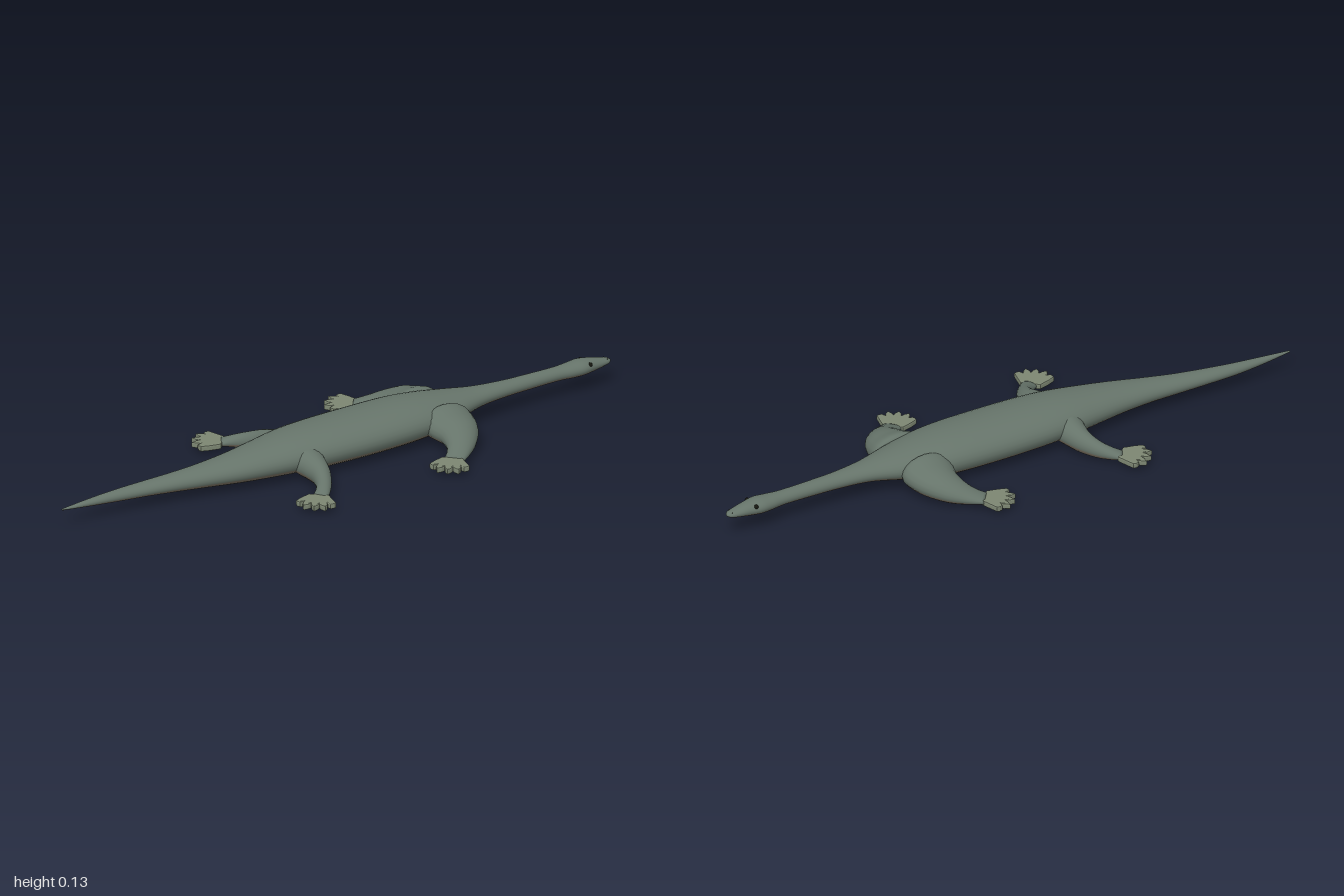
import * as THREE from 'three';

const paint = (color) => new THREE.MeshStandardMaterial({ color });
const hide = paint(0x66746a), belly = paint(0x756d5e), footSkin = paint(0x7c8672), dark = paint(0x15160f);
const V = (x, y, z) => new THREE.Vector3(x, y, z);

// Smooth closed skin through elliptic sections [centre, half width, half height];
// the underside of every ring gets the belly colour.
function loft(name, sections, steps, sides) {
  const [C, U, H] = [0, 1, 2].map((k) => new THREE.CatmullRomCurve3(sections.map((s) => s[k]), false, 'catmullrom', 0.5));
  const pos = [], top = [], under = [];
  for (let i = 0; i <= steps; i++) {
    const t = i / steps, c = C.getPoint(t), u = U.getPoint(t), h = H.getPoint(t);
    for (let j = 0; j < sides; j++) {
      const a = (j / sides) * Math.PI * 2;
      const p = c.clone().addScaledVector(u, Math.cos(a)).addScaledVector(h, Math.sin(a));
      pos.push(p.x, p.y, p.z);
    }
  }
  for (let i = 0; i < steps; i++) {
    for (let j = 0; j < sides; j++) {
      const k = (j + 1) % sides, a = i * sides + j, b = i * sides + k;
      const low = Math.sin(((j + 0.5) / sides) * Math.PI * 2) < -0.35;
      (low ? under : top).push(a, a + sides, b + sides, a, b + sides, b);
    }
  }
  // End caps
  const last = steps * sides;
  for (let j = 1; j < sides - 1; j++) top.push(0, j, j + 1, last, last + j + 1, last + j);
  const g = new THREE.BufferGeometry();
  g.setAttribute('position', new THREE.Float32BufferAttribute(pos, 3));
  g.setIndex([...top, ...under]);
  g.addGroup(0, top.length, 0);
  g.addGroup(top.length, under.length, 1);
  g.computeVertexNormals();
  const mesh = new THREE.Mesh(g, [hide, belly]);
  mesh.name = name;
  return mesh;
}

// Tail tip to snout: x, bottom, top, right edge z, left edge z
const BODY = [
  [-1, 0.058, 0.063, -0.049, -0.043], [-0.9, 0.048, 0.07, -0.06, -0.033], [-0.8, 0.04, 0.076, -0.066, -0.022],
  [-0.7, 0.036, 0.081, -0.067, -0.005], [-0.6, 0.031, 0.087, -0.065, 0.015], [-0.5, 0.026, 0.096, -0.065, 0.04],
  [-0.4, 0.02, 0.107, -0.073, 0.066], [-0.3, 0.014, 0.119, -0.089, 0.086], [-0.2, 0.009, 0.13, -0.107, 0.103],
  [-0.1, 0.005, 0.135, -0.117, 0.113], [0.05, 0.003, 0.137, -0.12, 0.117], [0.2, 0.005, 0.137, -0.117, 0.114],
  [0.3, 0.012, 0.131, -0.106, 0.103], [0.4, 0.03, 0.119, -0.08, 0.078], [0.5, 0.046, 0.107, -0.047, 0.047],
  [0.6, 0.051, 0.101, -0.032, 0.032], [0.7, 0.053, 0.099, -0.027, 0.027], [0.8, 0.054, 0.098, -0.026, 0.026],
  [0.85, 0.052, 0.1, -0.032, 0.032], [0.89, 0.052, 0.102, -0.036, 0.036], [0.93, 0.055, 0.097, -0.028, 0.028],
  [0.97, 0.061, 0.088, -0.021, 0.021], [0.99, 0.065, 0.083, -0.015, 0.015], [1, 0.071, 0.077, -0.005, 0.005],
];

// Shoulder to wrist: rear edge x, z, front edge x, z, bottom, top
const FRONT_LEG = [
  [0.29, 0.055, 0.37, 0.055, 0.045, 0.095], [0.25, 0.075, 0.416, 0.075, 0.018, 0.119],
  [0.254, 0.115, 0.412, 0.125, 0.013, 0.107], [0.264, 0.155, 0.39, 0.175, 0.011, 0.094],
  [0.257, 0.195, 0.35, 0.222, 0.009, 0.073], [0.238, 0.222, 0.3, 0.26, 0.01, 0.052],
  [0.215, 0.24, 0.255, 0.288, 0.013, 0.036],
];
const HIND_LEG = [
  [-0.2, 0.05, -0.15, 0.05, 0.045, 0.085], [-0.23, 0.075, -0.125, 0.075, 0.018, 0.104],
  [-0.222, 0.115, -0.136, 0.12, 0.013, 0.095], [-0.217, 0.155, -0.155, 0.17, 0.011, 0.08],
  [-0.228, 0.195, -0.185, 0.218, 0.009, 0.062], [-0.248, 0.222, -0.215, 0.253, 0.01, 0.048],
  [-0.272, 0.24, -0.245, 0.282, 0.013, 0.035],
];

// Flat webbed foot with five short pointed toes
function foot(x, z) {
  const s = new THREE.Shape();
  const at = (deg, r) => [r * Math.cos(deg * Math.PI / 180), r * Math.sin(deg * Math.PI / 180)];
  s.moveTo(...at(45, 0.03));
  s.lineTo(...at(78, 0.058));
  for (let i = 0; i < 5; i++) {
    const mid = 92 + i * 21;
    s.lineTo(...at(mid - 6, 0.08));
    s.lineTo(...at(mid, i === 0 || i === 4 ? 0.082 : 0.092));
    s.lineTo(...at(mid + 6, 0.08));
    if (i < 4) s.lineTo(...at(mid + 10.5, 0.068));
  }
  s.lineTo(...at(192, 0.058));
  s.lineTo(...at(225, 0.03));
  const g = new THREE.ExtrudeGeometry(s, {
    depth: 0.009, bevelEnabled: true, bevelThickness: 0.005, bevelSize: 0.004, bevelOffset: -0.002, bevelSegments: 2,
  });
  g.rotateX(Math.PI / 2);
  const mesh = new THREE.Mesh(g, footSkin);
  mesh.name = 'foot';
  mesh.position.set(x, 0.028, z);
  return mesh;
}

function leg(name, rows, side) {
  const group = new THREE.Group();
  group.name = name;
  const sections = rows.map(([rx, rz, fx, fz, b, t]) => [
    V((rx + fx) / 2, (b + t) / 2, (rz + fz) / 2),
    V((rx - fx) / 2, 0, (rz - fz) / 2),
    V(0, (t - b) / 2, 0),
  ]);
  group.add(loft('limb', sections, 36, 20));
  const [rx, rz, fx, fz] = rows[rows.length - 1];
  group.add(foot((rx + fx) / 2, (rz + fz) / 2 - 0.007));
  group.scale.z = side;
  return group;
}

function bead(name, r, x, y, z) {
  const mesh = new THREE.Mesh(new THREE.SphereGeometry(r, 12, 8), dark);
  mesh.name = name;
  mesh.position.set(x, y, z);
  return mesh;
}

export function createModel() {
  const model = new THREE.Group();
  model.name = 'reptile';
  const sections = BODY.map(([x, b, t, z0, z1]) => [
    V(x, (b + t) / 2, (z0 + z1) / 2), V(0, 0, (z1 - z0) / 2), V(0, (t - b) / 2, 0),
  ]);
  model.add(loft('body', sections, 138, 32));
  for (const side of [1, -1]) {
    const word = side > 0 ? 'near' : 'far';
    model.add(leg(word + 'FrontLeg', FRONT_LEG, side), leg(word + 'HindLeg', HIND_LEG, side));
    model.add(bead('eye', 0.007, 0.91, 0.088, side * 0.026));
    model.add(bead('nostril', 0.0025, 0.985, 0.081, side * 0.01));
  }
  return model;
}
